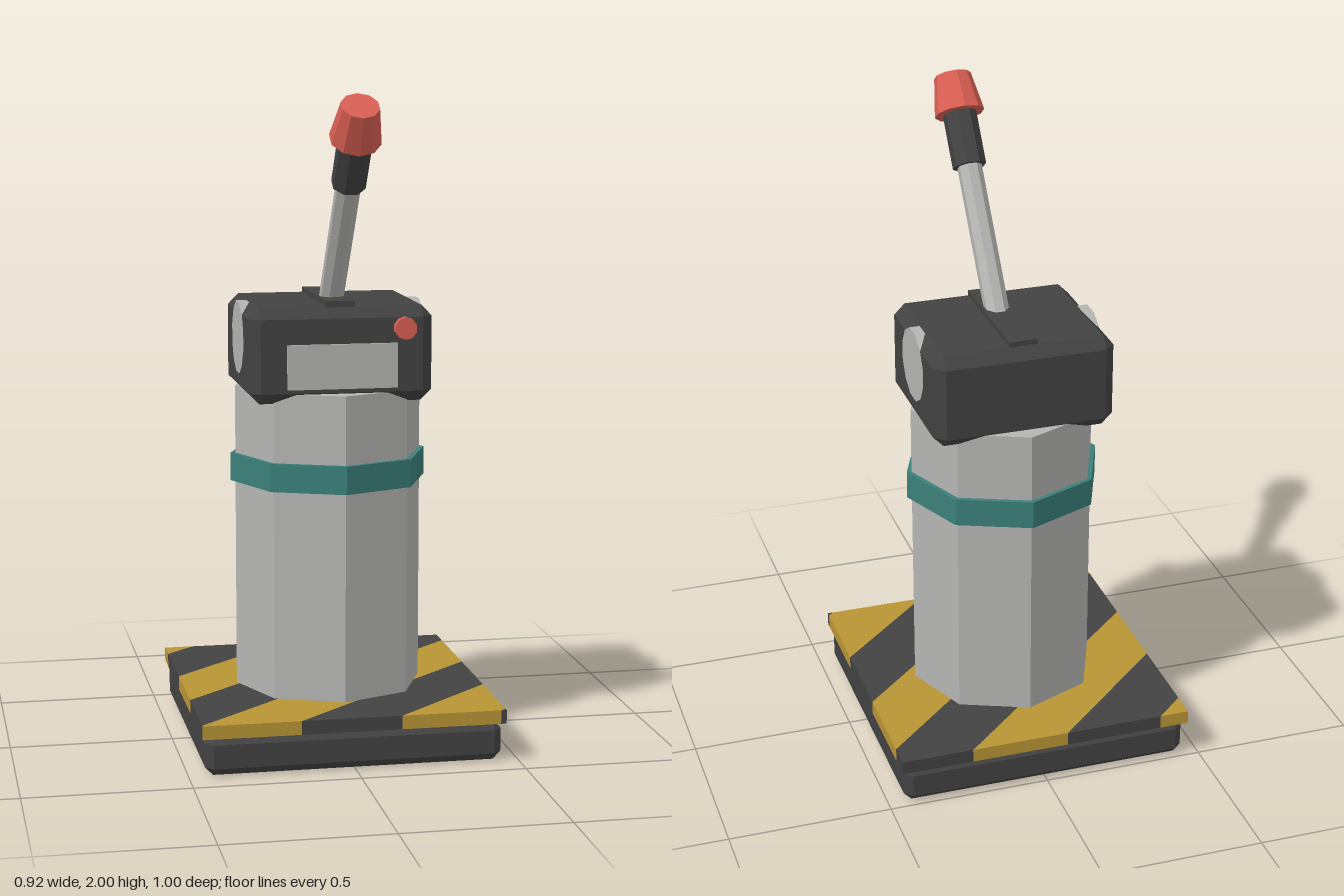
import * as THREE from 'three';
import { ConvexGeometry } from 'three/addons/geometries/ConvexGeometry.js';

const paint = (name, color) => Object.assign(new THREE.MeshStandardMaterial({ color }), { name });

export function createModel() {
  const root = new THREE.Group();
  root.name = 'leverPost';
  const steel = paint('light grey steel', 0xb4b4b2);
  const dark = paint('charcoal', 0x424242);
  const yellow = paint('hazard yellow', 0xb89535);
  const teal = paint('teal', 0x3a7f79);
  const red = paint('red', 0xd95f53);
  const CZ = -0.04; // depth centre of the post

  const add = (parent, name, geo, mat, x = 0, y = 0, z = 0) => {
    const mesh = new THREE.Mesh(geo, mat);
    mesh.name = name;
    mesh.position.set(x, y, z);
    parent.add(mesh);
    return mesh;
  };

  // Faceted cylinder; spin turns the facets about its own axis
  const prism = (rTop, rBottom, h, sides, spin = 0) => {
    const g = new THREE.CylinderGeometry(rTop, rBottom, h, sides).rotateY(spin).toNonIndexed();
    g.computeVertexNormals();
    return g;
  };

  // Box with every edge cut at 45 degrees
  const chamferBox = (w, h, d, c) => {
    const pts = [];
    for (const sx of [-1, 1]) for (const sy of [-1, 1]) for (const sz of [-1, 1]) {
      const X = w / 2, Y = h / 2, Z = d / 2;
      pts.push(
        new THREE.Vector3(sx * X, sy * (Y - c), sz * (Z - c)),
        new THREE.Vector3(sx * (X - c), sy * Y, sz * (Z - c)),
        new THREE.Vector3(sx * (X - c), sy * (Y - c), sz * Z));
    }
    return new ConvexGeometry(pts);
  };

  // Foot
  add(root, 'foot', chamferBox(0.9, 0.12, 0.9, 0.024), dark, 0, 0.06, CZ);

  // Hazard plate: a square cut into diagonal strips of alternating colour
  const clip = (poly, value) => {
    const out = [];
    poly.forEach((a, i) => {
      const b = poly[(i + 1) % poly.length];
      const va = value(a), vb = value(b);
      if (va >= 0) out.push(a);
      if (va * vb < 0) out.push(a.clone().lerp(b, va / (va - vb)));
    });
    return out;
  };
  const plate = new THREE.Group();
  plate.name = 'hazardPlate';
  plate.position.y = 0.118;
  root.add(plate);
  const H = 0.46;
  const square = [[-H, -H], [H, -H], [H, H], [-H, H]].map(([x, y]) => new THREE.Vector2(x, y - CZ));
  const along = (p) => p.x - 1.1 * p.y; // shape y is -z
  for (let i = -4; i < 4; i++) {
    const lo = i * 0.304 - 0.007, hi = lo + 0.304;
    const strip = clip(clip(square, (p) => along(p) - lo), (p) => hi - along(p));
    if (strip.length < 3) continue;
    const geo = new THREE.ExtrudeGeometry(new THREE.Shape(strip), { depth: 0.042, bevelEnabled: false });
    geo.rotateX(-Math.PI / 2);
    add(plate, 'hazardStripe', geo, i % 2 === 0 ? yellow : dark);
  }

  // Octagonal column and its band
  add(root, 'column', prism(0.29, 0.29, 0.95, 8), steel, 0, 0.625, CZ);
  add(root, 'columnBand', prism(0.305, 0.305, 0.086, 8), teal, 0, 0.847, CZ);

  // Head with lever slot, side caps, front panel and button
  add(root, 'head', chamferBox(0.56, 0.29, 0.475, 0.033), dark, 0, 1.215, -0.042);
  add(root, 'slotPlate', new THREE.BoxGeometry(0.088, 0.03, 0.41), dark, 0, 1.361, CZ);
  for (const side of [-1, 1]) {
    const cap = prism(0.113, 0.113, 0.05, 12, Math.PI / 12).rotateZ(Math.PI / 2);
    add(root, side > 0 ? 'leftPivotCap' : 'rightPivotCap', cap, steel, side * 0.256, 1.249, CZ);
  }
  add(root, 'frontPanel', new THREE.BoxGeometry(0.335, 0.135, 0.02), steel, 0, 1.183, 0.195);
  add(root, 'button', prism(0.034, 0.034, 0.04, 10).rotateX(Math.PI / 2), red, 0.19, 1.295, 0.2);

  // Lever leaning forward
  const lever = new THREE.Group();
  lever.name = 'lever';
  lever.position.set(0, 1.296, CZ);
  lever.rotation.x = 0.64;
  root.add(lever);
  add(lever, 'leverShaft', prism(0.038, 0.038, 0.56, 8, Math.PI / 8), steel, 0, 0.28, 0);
  add(lever, 'leverGrip', prism(0.052, 0.052, 0.18, 8, Math.PI / 8), dark, 0, 0.633, 0);
  add(lever, 'leverKnob', prism(0.057, 0.077, 0.122, 10), red, 0, 0.773, 0);

  return root;
}
